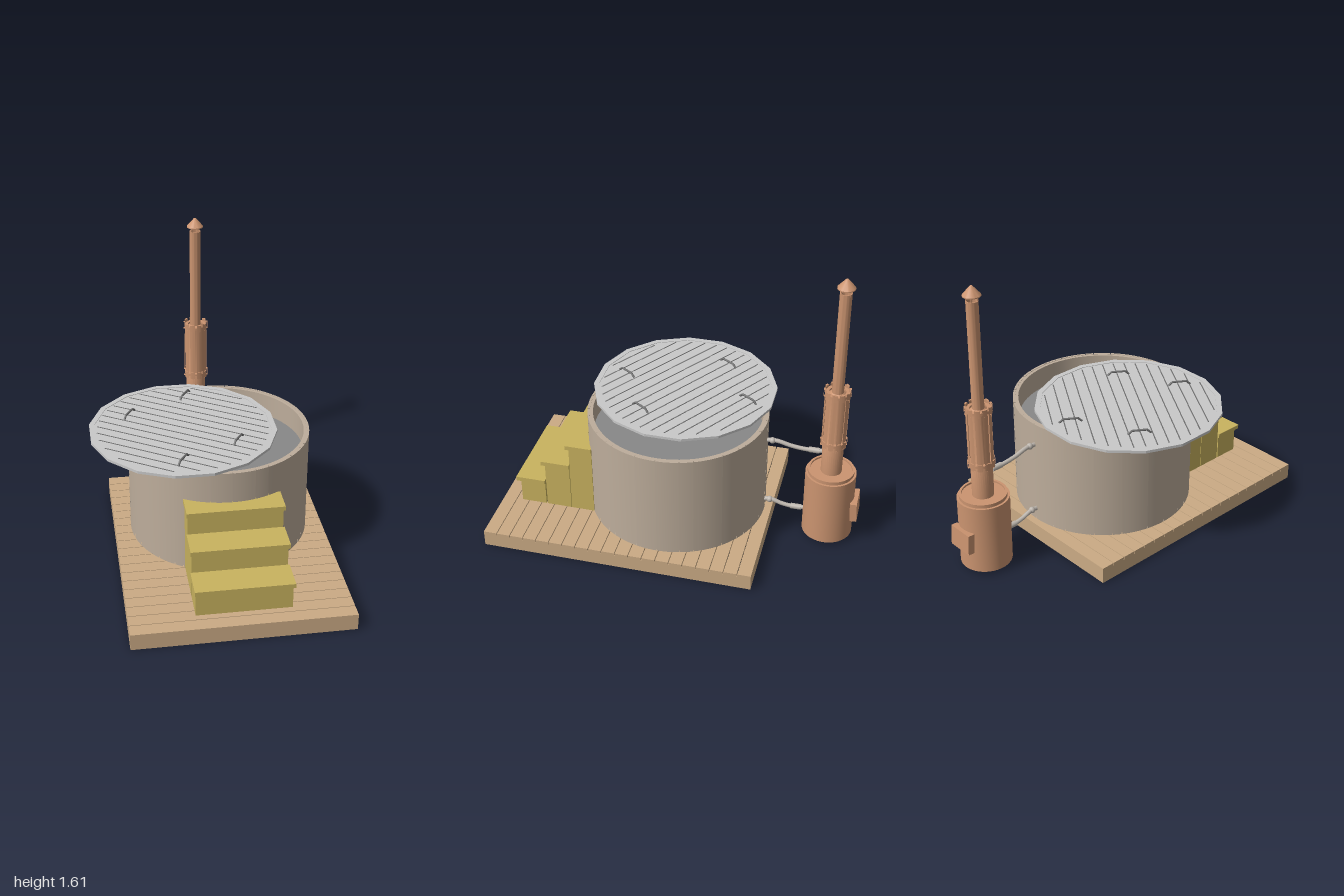
import * as THREE from 'three';
import { toCreasedNormals } from 'three/addons/utils/BufferGeometryUtils.js';

const mat = (name, color, extra = {}) => {
  const m = new THREE.MeshStandardMaterial({ color, ...extra });
  m.name = name;
  return m;
};

export function createModel() {
  const model = new THREE.Group();
  model.name = 'woodFiredHotTub';

  const deckWood = mat('deckWood', 0xcbab85);
  const tubWood = mat('tubWood', 0xbdad9b, { side: THREE.DoubleSide });
  const stepWood = mat('stepWood', 0xc9b35f);
  const copper = mat('copper', 0xcb9470, { side: THREE.DoubleSide });
  const lidGrey = mat('lidGrey', 0xc9c9c9);
  const grooveGrey = mat('grooveGrey', 0x707070);
  const waterGrey = mat('waterGrey', 0x888888);
  const pipeSteel = mat('pipeSteel', 0xbdb6ae);

  const group = (name, x = 0, y = 0, z = 0) => {
    const g = new THREE.Group();
    g.name = name;
    g.position.set(x, y, z);
    model.add(g);
    return g;
  };
  const add = (parent, name, geo, material, x = 0, y = 0, z = 0) => {
    const m = new THREE.Mesh(geo, material);
    m.name = name;
    m.position.set(x, y, z);
    parent.add(m);
    return m;
  };
  // Box given by its limits on each axis
  const block = (parent, name, material, x0, x1, y0, y1, z0, z1) =>
    add(parent, name, new THREE.BoxGeometry(x1 - x0, y1 - y0, z1 - z0), material,
      (x0 + x1) / 2, (y0 + y1) / 2, (z0 + z1) / 2);
  // Turned solid from [radius, height] pairs, listed upward on the outside
  const turned = (pts, seg = 48, start = 0, length = Math.PI * 2) =>
    toCreasedNormals(new THREE.LatheGeometry(pts.map(p => new THREE.Vector2(...p)), seg, start, length), 0.6);
  const ringPts = (rIn, rOut, y0, y1) => [[rOut, y0], [rOut, y1], [rIn, y1], [rIn, y0], [rOut, y0]];

  // Deck: hollow frame with boards laid across
  const deck = group('deck');
  const X0 = -0.53, X1 = 0.64, Z0 = -0.51, Z1 = 1, T = 0.03;
  block(deck, 'frameFront', deckWood, X0, X1, 0, 0.075, Z1 - T, Z1);
  block(deck, 'frameBack', deckWood, X0, X1, 0, 0.075, Z0, Z0 + T);
  block(deck, 'frameRight', deckWood, X0, X0 + T, 0, 0.075, Z0 + T, Z1 - T);
  block(deck, 'frameLeft', deckWood, X1 - T, X1, 0, 0.075, Z0 + T, Z1 - T);
  const pitch = (Z1 - Z0) / 20;
  for (let i = 0; i < 20; i++) {
    const a = Z0 + i * pitch + (i ? 0.002 : 0), b = Z0 + (i + 1) * pitch - (i < 19 ? 0.002 : 0);
    block(deck, 'deckBoard', deckWood, X0, X1, 0.075, 0.092, a, b);
  }

  // Tub: staves of uneven width around an inner liner
  const tub = group('tub', 0.06, 0, 0.03);
  const widths = [1, 0.6, 1.3, 0.8, 0.4, 1.2, 0.9];
  const unit = Math.PI * 2 / (4 * widths.reduce((s, w) => s + w, 0));
  let angle = 0;
  for (let i = 0; i < 28; i++) {
    const w = widths[i % 7] * unit;
    add(tub, 'stave', turned(ringPts(0.487, 0.5, 0.092, 0.7), 6, angle + 0.004, w - 0.008), tubWood);
    angle += w;
  }
  add(tub, 'liner', turned(ringPts(0.47, 0.488, 0.092, 0.698), 72), tubWood);
  add(tub, 'water', new THREE.CylinderGeometry(0.471, 0.471, 0.02, 72), waterGrey, 0, 0.56, 0);

  // Lid: sixteen-sided panel pushed to one side
  const lid = group('lid', -0.138, 0, 0.04);
  const R = 0.517, lidTurn = Math.PI / 16;
  add(lid, 'lidPanel', new THREE.CylinderGeometry(R - 0.01, R - 0.01, 0.011, 16).toNonIndexed(), lidGrey, 0, 0.7115, 0).rotation.y = lidTurn;
  add(lid, 'lidRim', toCreasedNormals(new THREE.LatheGeometry(
    ringPts(R - 0.03, R, 0.705, 0.72).map(p => new THREE.Vector2(...p)), 16), 0.1), lidGrey).rotation.y = lidTurn;
  const lines = new THREE.Group();
  lines.name = 'lidGrooves';
  lines.rotation.y = -0.57;
  lid.add(lines);
  for (let i = -7; i <= 7; i++) {
    const d = i * 0.063, half = Math.sqrt(0.47 * 0.47 - d * d);
    block(lines, 'lidGroove', grooveGrey, -half, half, 0.716, 0.7185, d - 0.003, d + 0.003);
  }

  // Lid handles: low bars with sloping ends
  const barPath = new THREE.CurvePath();
  const hp = [[-0.062, 0], [-0.04, 0.02], [0.04, 0.02], [0.062, 0]].map(p => new THREE.Vector3(p[0], p[1], 0));
  for (let i = 0; i < 3; i++) barPath.add(new THREE.LineCurve3(hp[i], hp[i + 1]));
  const bar = new THREE.TubeGeometry(barPath, 24, 0.006, 8);
  for (const [x, z] of [[-0.415, -0.145], [-0.08, -0.33], [0.14, 0.225], [-0.18, 0.395]])
    add(lid, 'lidHandle', bar, grooveGrey, x + 0.138, 0.716, z - 0.04).rotation.y = 1.0;

  // Steps: three boxes, each with an overhanging tread
  const steps = group('steps');
  [[0.525, 0.61], [0.39, 0.76], [0.255, 0.915]].forEach(([top, front], i) => {
    const back = i ? 0.595 + (i - 1) * 0.15 : 0.46;
    block(steps, 'stepBody', stepWood, -0.185, 0.32, 0.092, top - 0.025, back, front - 0.018 - i * 0.004);
    block(steps, 'stepTread', stepWood, -0.192, 0.327, top - 0.025, top, back, front);
  });

  // Stove: open-footed drum, shoulder and flue
  const stove = group('stove', 0.05, 0, -0.83);
  add(stove, 'stoveDrum', turned([[0, 0.05], [0.13, 0.05], [0.13, 0.02], [0.14, 0.02], [0.14, 0.415], [0, 0.415]]), copper);
  add(stove, 'stoveTop', turned([[0.128, 0.415], [0.128, 0.435], [0.115, 0.435], [0.115, 0.425], [0, 0.425]]), copper);
  add(stove, 'flueBase', turned([[0.058, 0.42], [0.058, 0.61], [0.045, 0.63], [0.045, 0.93], [0.032, 0.94],
    [0.032, 1.53], [0.027, 1.53], [0.027, 1.45], [0, 1.45]], 32), copper);
  const door = block(stove, 'fireDoor', copper, -0.075, 0.075, 0.147, 0.263, -0.166, -0.128);
  door.rotation.x = 0.05;

  // Heat guard: upright slats with clips at both ends
  const slats = 10;
  for (let i = 0; i < slats; i++) {
    const s = i * Math.PI * 2 / slats;
    add(stove, 'guardSlat', turned(ringPts(0.063, 0.067, 0.6, 0.955), 4, s, 0.44), copper);
    for (const y of [0.6, 0.915])
      add(stove, 'guardClip', turned(ringPts(0.062, 0.073, y, y + 0.042), 4, s + 0.08, 0.28), copper);
  }
  for (const y of [0.615, 0.925])
    add(stove, 'guardRing', turned(ringPts(0.045, 0.066, y, y + 0.015), 32), copper);

  // Rain cap on four short posts
  for (let i = 0; i < 4; i++) {
    const a = Math.PI / 4 + i * Math.PI / 2;
    add(stove, 'capPost', new THREE.BoxGeometry(0.005, 0.04, 0.005), copper,
      0.029 * Math.cos(a), 1.54, 0.029 * Math.sin(a));
  }
  add(stove, 'rainCap', turned([[0, 1.555], [0.047, 1.555], [0.047, 1.56], [0.006, 1.608], [0, 1.61]], 32), copper);

  // Water pipes joining stove and tub
  const addPipe = (name, y, end) => {
    const g = group(name);
    const dz = end + 0.46;
    const path = new THREE.CatmullRomCurve3([[0, 0.005], [0.2, 0.008], [0.45, -0.012], [0.7, -0.022], [1, -0.02]]
      .map(([t, dy]) => new THREE.Vector3(0.06 - 0.006 * t, y + dy, -0.46 + dz * t)));
    add(g, 'pipe', new THREE.TubeGeometry(path, 32, 0.012, 12), pipeSteel);
    add(g, 'pipeJoint', new THREE.SphereGeometry(0.018, 16, 12), pipeSteel, 0.06, y + 0.007, -0.5);
    const collar = add(g, 'pipeCollar', new THREE.CylinderGeometry(0.016, 0.016, 0.06, 16), pipeSteel, 0.055, y - 0.021, end + 0.05);
    collar.rotation.x = Math.PI / 2;
  };
  addPipe('upperPipe', 0.565, -0.78);
  addPipe('lowerPipe', 0.155, -0.7);

  return model;
}
